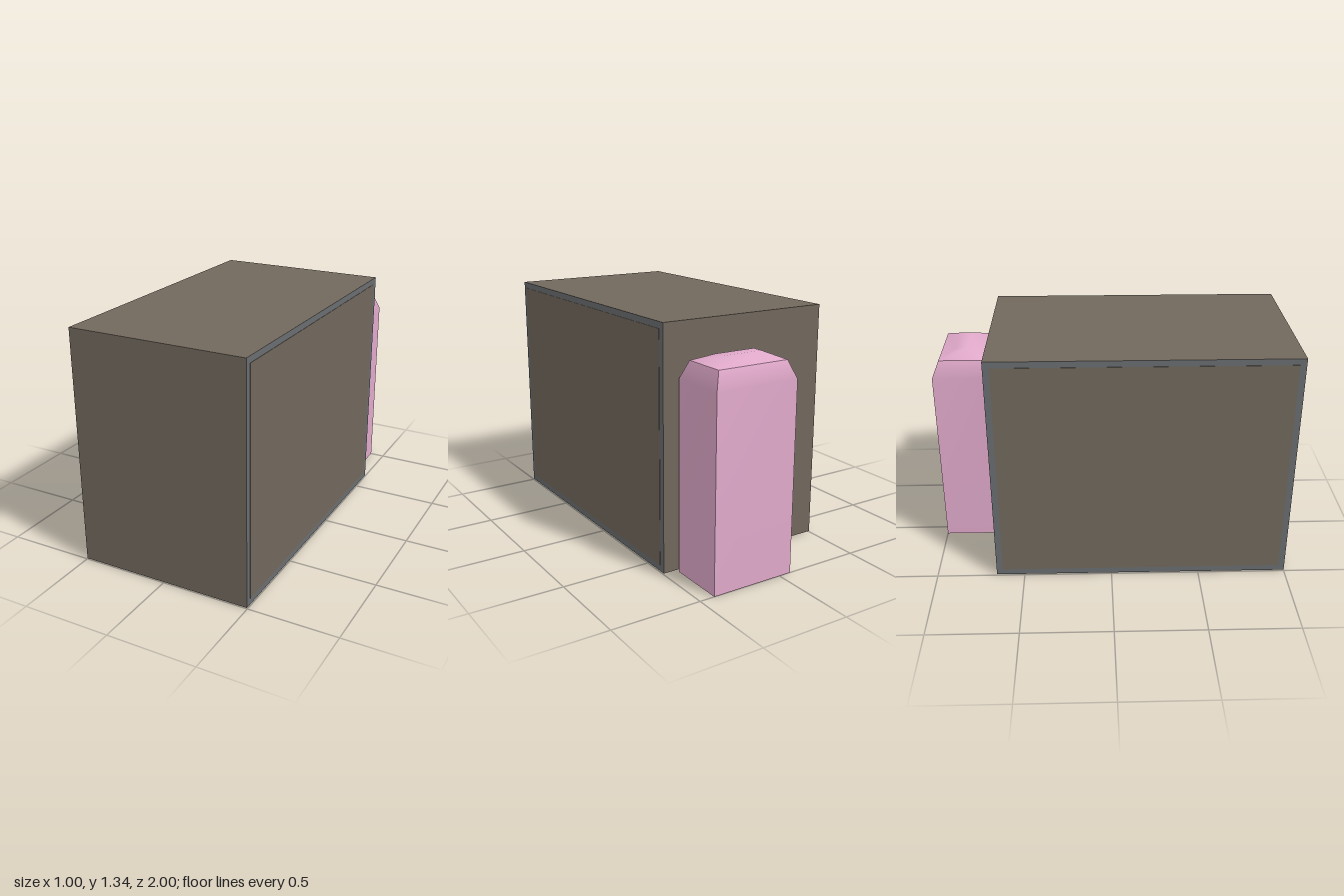
import * as THREE from 'three';

const mat = (color) => new THREE.MeshStandardMaterial({ color });
const add = (group, name, geometry, material, x = 0, y = 0, z = 0) => {
  const mesh = new THREE.Mesh(geometry, material);
  mesh.name = name;
  mesh.position.set(x, y, z);
  group.add(mesh);
  return mesh;
};

// Four corners of a horizontal rectangle, counter-clockwise seen from above
const ring = (y, hx, hz) => [[-hx, y, hz], [hx, y, hz], [hx, y, -hz], [-hx, y, -hz]];

// Skin of rectangular rings; each side has its own vertices so corners stay sharp
function ringSkin(rings) {
  const pos = [], index = [];
  for (let s = 0; s < 4; s++) {
    const base = pos.length / 3;
    rings.forEach((r) => pos.push(...r[s], ...r[(s + 1) % 4]));
    for (let i = 0; i < rings.length - 1; i++) {
      const a = base + i * 2;
      index.push(a, a + 1, a + 3, a, a + 3, a + 2);
    }
  }
  return toGeometry(pos, index);
}

// Smooth hipped cap from a lower ring to a flat upper ring, sharing vertices
function hippedCap(lower, upper) {
  const index = [4, 5, 6, 4, 6, 7];
  for (let s = 0; s < 4; s++) {
    const n = (s + 1) % 4;
    index.push(s, n, n + 4, s, n + 4, s + 4);
  }
  return toGeometry([...lower, ...upper].flat(), index);
}

function toGeometry(pos, index) {
  const g = new THREE.BufferGeometry();
  g.setAttribute('position', new THREE.Float32BufferAttribute(pos, 3));
  g.setIndex(index);
  g.computeVertexNormals();
  return g;
}

export function createModel() {
  const model = new THREE.Group();
  model.name = 'cabinetWithBackUnit';
  const tan = mat(0x71685d), slate = mat(0x6a6d70), pink = mat(0xe0a9ca);
  const grey = mat(0x777777), dark = mat(0x3a3632);

  // Main cabinet, slate on its two sides and tan elsewhere
  const h = 1.33, depth = 1.66, midY = 0.67, midZ = 0.17;
  add(model, 'cabinet', new THREE.BoxGeometry(0.996, h, depth),
    [slate, slate, tan, tan, tan, tan], 0, midY, midZ);

  // Side panels leaving a narrow slate border
  for (const s of [1, -1]) {
    add(model, s > 0 ? 'leftPanel' : 'rightPanel',
      new THREE.BoxGeometry(0.004, h - 0.07, depth - 0.07), tan, s * 0.498, midY, midZ);
  }

  // Upright unit behind the cabinet with bevelled shoulders and hipped top
  const unit = new THREE.Group();
  unit.name = 'backUnit';
  unit.position.set(0.172, 0, -0.838);
  const shoulder = ring(1.145, 0.207, 0.123);
  add(unit, 'unitWalls', ringSkin([ring(0, 0.243, 0.162), ring(1.05, 0.243, 0.162), shoulder]), pink);
  add(unit, 'unitTop', hippedCap(shoulder, ring(1.185, 0.115, 0.03)), pink);
  const base = add(unit, 'unitBase', new THREE.PlaneGeometry(0.486, 0.324), pink);
  base.rotation.x = Math.PI / 2;
  model.add(unit);

  // Connecting pipe between cabinet and unit
  const pipe = add(model, 'connectingPipe', new THREE.CylinderGeometry(0.02, 0.02, 0.06, 16), grey, 0.217, 0.765, -0.685);
  pipe.rotation.x = Math.PI / 2;

  // Dark bracket in the gap, sloping off at its top and with a thin lower lip
  const profile = new THREE.Shape([[0, 0.21], [0.003, 0.21], [0.003, 0.26], [0.018, 0.26],
    [0.018, 0.54], [0.004, 0.59], [0, 0.59]].map(([x, y]) => new THREE.Vector2(x, y)));
  const bracket = add(model, 'gapBracket',
    new THREE.ExtrudeGeometry(profile, { depth: 0.135, bevelEnabled: false }), dark, 0.15, 0, -0.66);
  bracket.rotation.y = Math.PI / 2;
  return model;
}
